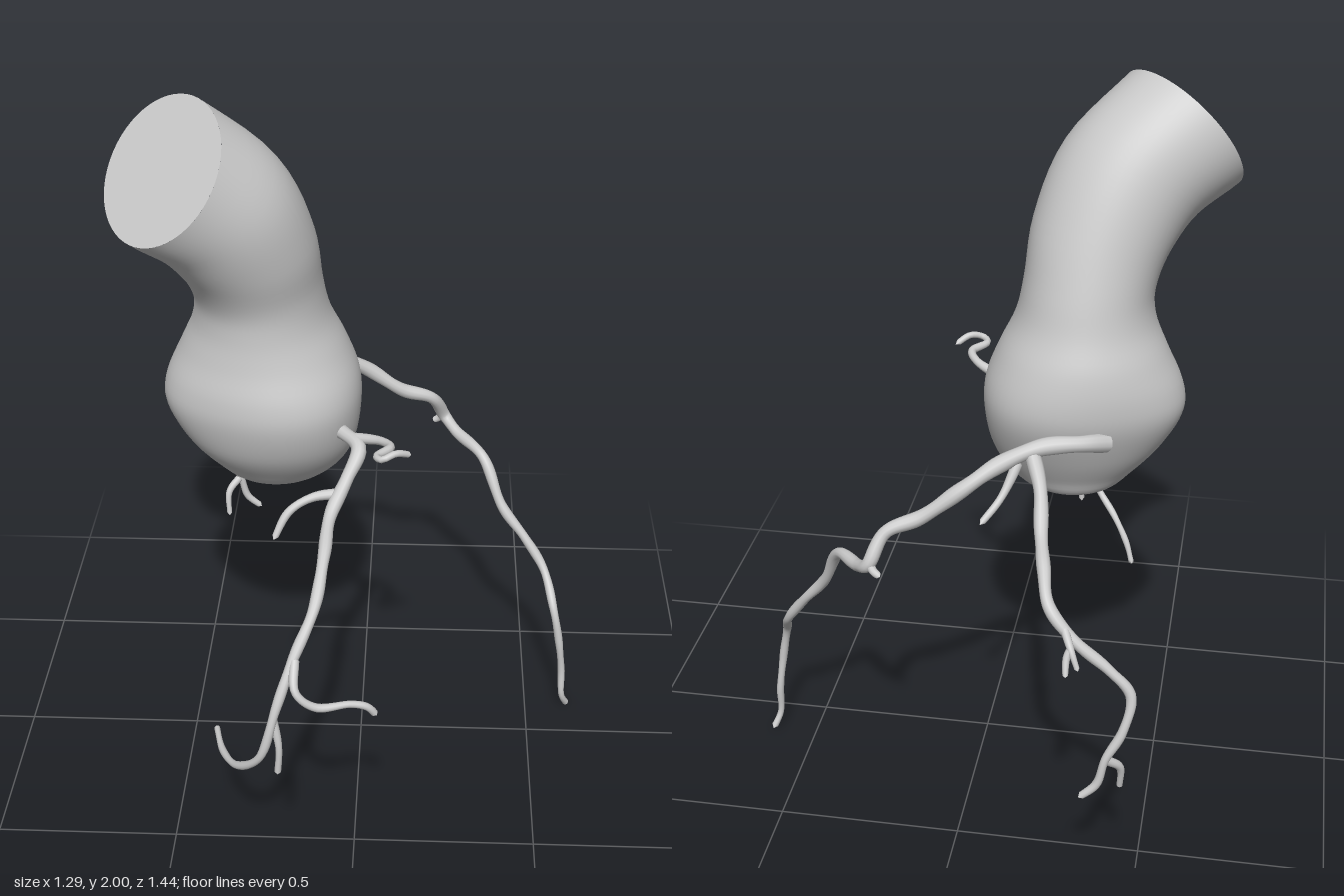
import * as THREE from 'three';

const material = new THREE.MeshStandardMaterial({ color: 0xcccccc });
const V = (p) => new THREE.Vector3(...p);
const UP = new THREE.Vector3(0, 1, 0);
const CUT = V([-0.59, 0.565, 0.57]).normalize(); // direction the cut end faces

// Trunk cross-sections from bottom to cut end: centre x, y, z, radius across, radius deep, tilt
const SECTIONS = [
  [-0.24, 0.885, -0.04, 0, 0, 0],
  [-0.24, 0.897, -0.04, 0.11, 0.095, 0],
  [-0.235, 0.95, -0.03, 0.18, 0.14, 0],
  [-0.245, 1.03, -0.025, 0.235, 0.19, 0],
  [-0.258, 1.13, -0.03, 0.268, 0.228, 0],
  [-0.26, 1.21, -0.035, 0.262, 0.235, 0],
  [-0.262, 1.3, -0.04, 0.225, 0.22, 0],
  [-0.267, 1.39, -0.03, 0.185, 0.2, 0.02],
  [-0.275, 1.48, -0.015, 0.173, 0.192, 0.1],
  [-0.3, 1.6, 0.025, 0.185, 0.194, 0.3],
  [-0.365, 1.735, 0.078, 0.197, 0.197, 0.65],
  [-0.49, 1.85, 0.14, 0.2, 0.2, 1],
];

function trunk() {
  const group = new THREE.Group();
  group.name = 'trunk';
  const centres = new THREE.CatmullRomCurve3(SECTIONS.map((s) => V(s.slice(0, 3))), false, 'catmullrom');
  const sizes = new THREE.CatmullRomCurve3(SECTIONS.map((s) => V(s.slice(3))), false, 'catmullrom');
  const rings = (SECTIONS.length - 1) * 5;
  const sides = 56;
  const positions = [];
  const index = [];
  for (let i = 0; i <= rings; i++) {
    const c = centres.getPoint(i / rings);
    const s = sizes.getPoint(i / rings);
    const n = UP.clone().lerp(CUT, s.z).normalize();
    const u = new THREE.Vector3(1, 0, 0).addScaledVector(n, -n.x).normalize();
    const w = u.clone().cross(n);
    // three soft lobes around the bulb
    const lobe = 0.04 * Math.exp(-(((c.y - 1.14) / 0.14) ** 2));
    for (let j = 0; j < sides; j++) {
      const a = (j / sides) * Math.PI * 2;
      const k = 1 - lobe * Math.cos(3 * a);
      const p = c.clone().addScaledVector(u, s.x * k * Math.cos(a)).addScaledVector(w, s.y * k * Math.sin(a));
      positions.push(p.x, p.y, p.z);
      if (i === rings) continue;
      const b = i * sides + j;
      const d = i * sides + ((j + 1) % sides);
      index.push(b, b + sides, d, d, b + sides, d + sides);
    }
  }
  const geometry = new THREE.BufferGeometry();
  geometry.setAttribute('position', new THREE.Float32BufferAttribute(positions, 3));
  geometry.setIndex(index);
  geometry.computeVertexNormals();
  const wall = new THREE.Mesh(geometry, material);
  wall.name = 'trunkWall';

  // flat cut end
  const end = new THREE.Mesh(new THREE.CircleGeometry(0.2, sides), material);
  end.name = 'cutEnd';
  end.position.copy(centres.getPoint(1));
  end.quaternion.setFromUnitVectors(new THREE.Vector3(0, 0, 1), CUT);
  group.add(wall, end);
  return group;
}

// Tapering tube through points, with both ends rounded off
function vessel(name, r0, r1, points) {
  const curve = new THREE.CatmullRomCurve3(points.map(V));
  const length = curve.getLength();
  const steps = Math.max(16, Math.round(length / 0.012));
  const sides = 12;
  const geometry = new THREE.TubeGeometry(curve, steps, 1, sides, false);
  const pos = geometry.attributes.position;
  const p = new THREE.Vector3();
  for (let i = 0; i <= steps; i++) {
    const t = i / steps;
    const c = curve.getPointAt(t);
    const edge = Math.min(1, (Math.min(t, 1 - t) * length) / r1);
    const wobble = 1 + 0.07 * Math.sin(t * length * 45);
    const r = (r0 + (r1 - r0) * t) * wobble * Math.sqrt(1 - (1 - edge) ** 2);
    for (let j = 0; j <= sides; j++) {
      const k = i * (sides + 1) + j;
      p.fromBufferAttribute(pos, k).sub(c).multiplyScalar(r).add(c);
      pos.setXYZ(k, p.x, p.y, p.z);
    }
  }
  const mesh = new THREE.Mesh(geometry, material);
  mesh.name = name;
  return mesh;
}

export function createModel() {
  const model = new THREE.Group();
  model.name = 'arteryTree';
  model.add(trunk());

  // Front artery and its branches
  const front = new THREE.Group();
  front.name = 'frontArteries';
  front.add(
    vessel('frontMain', 0.021, 0.008, [
      [-0.1, 1.1, 0.06], [-0.04, 1.1, 0.12], [0, 1.09, 0.18], [-0.03, 1.03, 0.24], [-0.07, 0.96, 0.31],
      [-0.08, 0.915, 0.43], [-0.1, 0.83, 0.55], [-0.15, 0.73, 0.635], [-0.19, 0.62, 0.69],
      [-0.235, 0.47, 0.705], [-0.3, 0.395, 0.65], [-0.35, 0.36, 0.55], [-0.38, 0.35, 0.435]]),
    vessel('frontCurl', 0.014, 0.008, [
      [-0.02, 1.1, 0.14], [0.06, 1.12, 0.19], [0.085, 1.13, 0.24], [0.05, 1.135, 0.295],
      [0.065, 1.14, 0.32], [0.1, 1.15, 0.305], [0.14, 1.13, 0.275]]),
    vessel('frontSideBranch', 0.014, 0.009, [
      [-0.04, 1, 0.26], [-0.12, 0.99, 0.27], [-0.18, 0.96, 0.295], [-0.22, 0.89, 0.325]]),
    vessel('frontLowerBranch', 0.012, 0.009, [
      [-0.145, 0.74, 0.63], [-0.14, 0.67, 0.69], [-0.09, 0.625, 0.69], [0, 0.615, 0.66],
      [0.04, 0.6, 0.65], [0.065, 0.565, 0.64]]),
    vessel('frontTwig', 0.011, 0.008, [[-0.2, 0.59, 0.69], [-0.185, 0.5, 0.7], [-0.19, 0.41, 0.7]]),
  );

  // Long artery leaving the back and running to the left
  const left = new THREE.Group();
  left.name = 'leftArteries';
  left.add(
    vessel('leftMain', 0.024, 0.009, [
      [-0.36, 1.11, -0.22], [-0.3, 1.13, -0.275], [-0.19, 1.13, -0.315], [-0.09, 1.09, -0.35],
      [0, 1.03, -0.39], [0.105, 0.95, -0.41], [0.195, 0.91, -0.435], [0.235, 0.83, -0.47],
      [0.27, 0.8, -0.43], [0.35, 0.77, -0.33], [0.41, 0.64, -0.265], [0.48, 0.55, -0.235],
      [0.54, 0.46, -0.2], [0.57, 0.37, -0.125], [0.59, 0.27, -0.11], [0.605, 0.15, -0.115],
      [0.61, 0.06, -0.11], [0.63, 0.01, -0.13]]),
    vessel('leftTwig', 0.013, 0.009, [[0.235, 0.85, -0.465], [0.22, 0.82, -0.48], [0.2, 0.805, -0.485]]),
    vessel('leftSideBranch', 0.014, 0.008, [[-0.14, 1.1, -0.33], [-0.1, 1.01, -0.38], [-0.055, 0.96, -0.44]]),
  );

  // Artery curving down behind
  const back = new THREE.Group();
  back.name = 'backArteries';
  back.add(
    vessel('backMain', 0.02, 0.01, [
      [-0.17, 1.12, -0.32], [-0.2, 1.04, -0.37], [-0.215, 0.95, -0.45], [-0.235, 0.91, -0.54],
      [-0.26, 0.85, -0.62], [-0.33, 0.775, -0.65], [-0.42, 0.7, -0.655], [-0.475, 0.635, -0.66],
      [-0.46, 0.54, -0.685], [-0.42, 0.46, -0.7], [-0.4, 0.385, -0.705], [-0.355, 0.34, -0.71]]),
    vessel('backFork', 0.012, 0.008, [[-0.42, 0.46, -0.7], [-0.455, 0.42, -0.67], [-0.455, 0.34, -0.65]]),
    vessel('backTwig', 0.011, 0.007, [[-0.3, 0.81, -0.64], [-0.325, 0.77, -0.685], [-0.345, 0.72, -0.7]]),
    vessel('backTwig2', 0.01, 0.007, [[-0.325, 0.775, -0.68], [-0.315, 0.75, -0.69], [-0.315, 0.705, -0.71]]),
  );

  model.add(front, left, back);
  return model;
}
